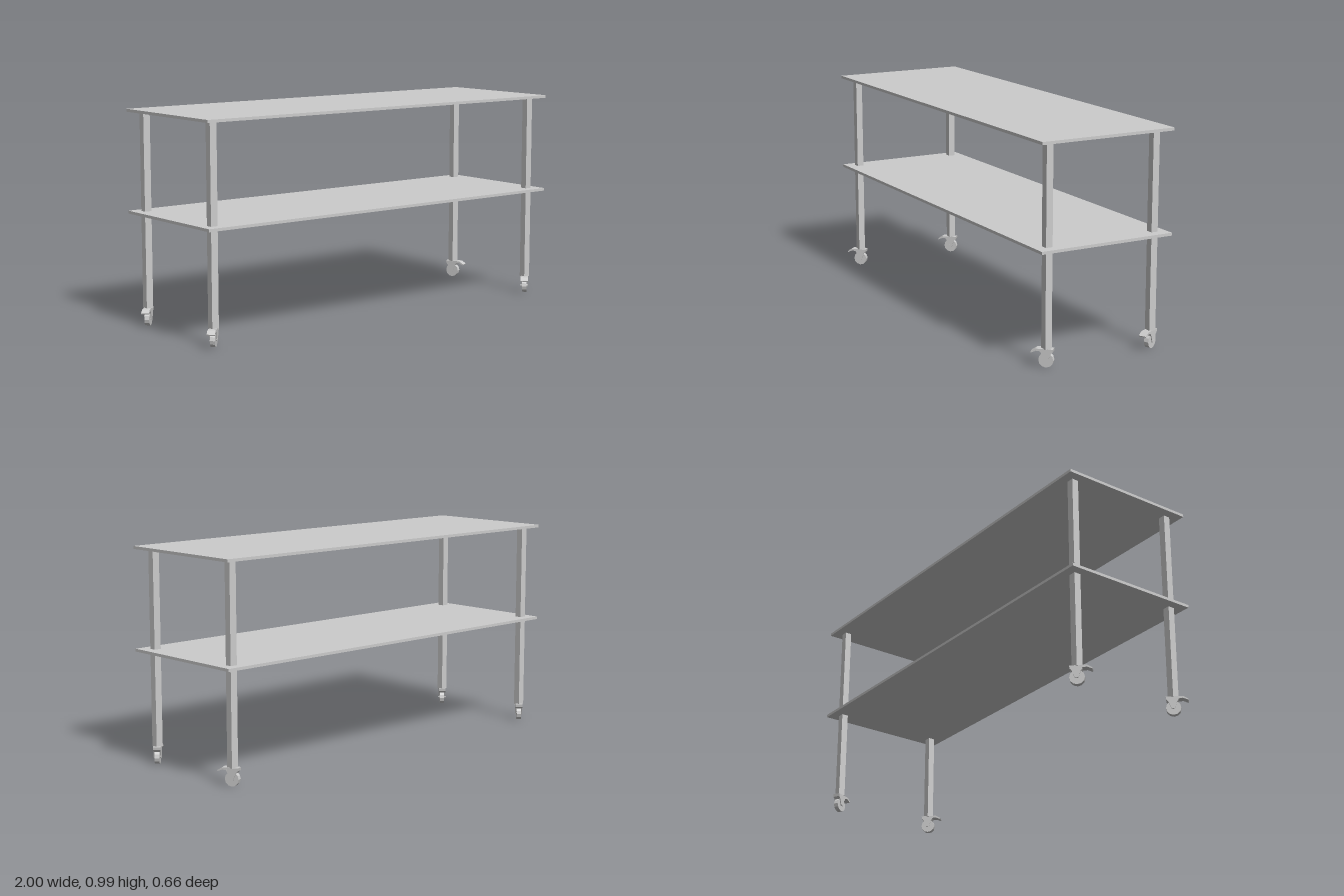
import * as THREE from 'three';

const grey = new THREE.MeshStandardMaterial({ color: 0xcccccc, flatShading: true });

function mesh(name, geometry, x = 0, y = 0, z = 0) {
  const m = new THREE.Mesh(geometry, grey);
  m.name = name;
  m.position.set(x, y, z);
  return m;
}

// Side profile extruded to a given width, centred on z
function plate(points, width) {
  const shape = new THREE.Shape(points.map(([x, y]) => new THREE.Vector2(x, y)));
  return new THREE.ExtrudeGeometry(shape, { depth: width, bevelEnabled: false }).translate(0, 0, -width / 2);
}

// Swivel caster, brake pedal pointing along local +x
function makeCaster() {
  const caster = new THREE.Group();
  caster.name = 'caster';

  const wheel = new THREE.CylinderGeometry(0.033, 0.033, 0.022, 12).rotateX(Math.PI / 2);
  caster.add(mesh('wheel', wheel, 0, 0.033, 0));

  const axle = new THREE.CylinderGeometry(0.006, 0.006, 0.036, 8).rotateX(Math.PI / 2);
  caster.add(mesh('axle', axle, 0, 0.033, 0));

  // Housing over the wheel
  const housing = [[-0.032, 0.084], [-0.03, 0.07], [-0.02, 0.06], [0.018, 0.06], [0.024, 0.072], [0.024, 0.084]];
  caster.add(mesh('housing', plate(housing, 0.034), 0, 0, 0));

  // Fork arms tapering down to the axle
  const arm = [[-0.024, 0.066], [-0.008, 0.027], [0.006, 0.027], [0.018, 0.066]];
  for (const side of [-1, 1]) caster.add(mesh('forkArm', plate(arm, 0.004), 0, 0, side * 0.015));

  // Drooping brake pedal
  const pedal = [[0.02, 0.072], [0.042, 0.074], [0.064, 0.064], [0.066, 0.069], [0.044, 0.083], [0.02, 0.084]];
  caster.add(mesh('brakePedal', plate(pedal, 0.036)));
  return caster;
}

export function createModel() {
  const table = new THREE.Group();
  table.name = 'rollingTable';

  // Two thin shelves
  const shelf = new THREE.BoxGeometry(2, 0.013, 0.656);
  table.add(mesh('topShelf', shelf, 0, 0.986, 0));
  table.add(mesh('lowerShelf', shelf, 0, 0.523, 0));

  // Square legs, each on a caster
  const legHeight = 0.898;
  const leg = new THREE.BoxGeometry(0.034, legHeight, 0.032);
  for (const x of [-0.941, 0.937]) {
    for (const z of [-0.269, 0.264]) {
      table.add(mesh('leg', leg, x, 0.082 + legHeight / 2, z));
      const caster = makeCaster();
      caster.position.set(x, 0, z);
      // The left rear caster is swivelled differently from the rest
      caster.rotation.y = THREE.MathUtils.degToRad(x > 0 && z < 0 ? -65 : -135);
      table.add(caster);
    }
  }
  return table;
}
